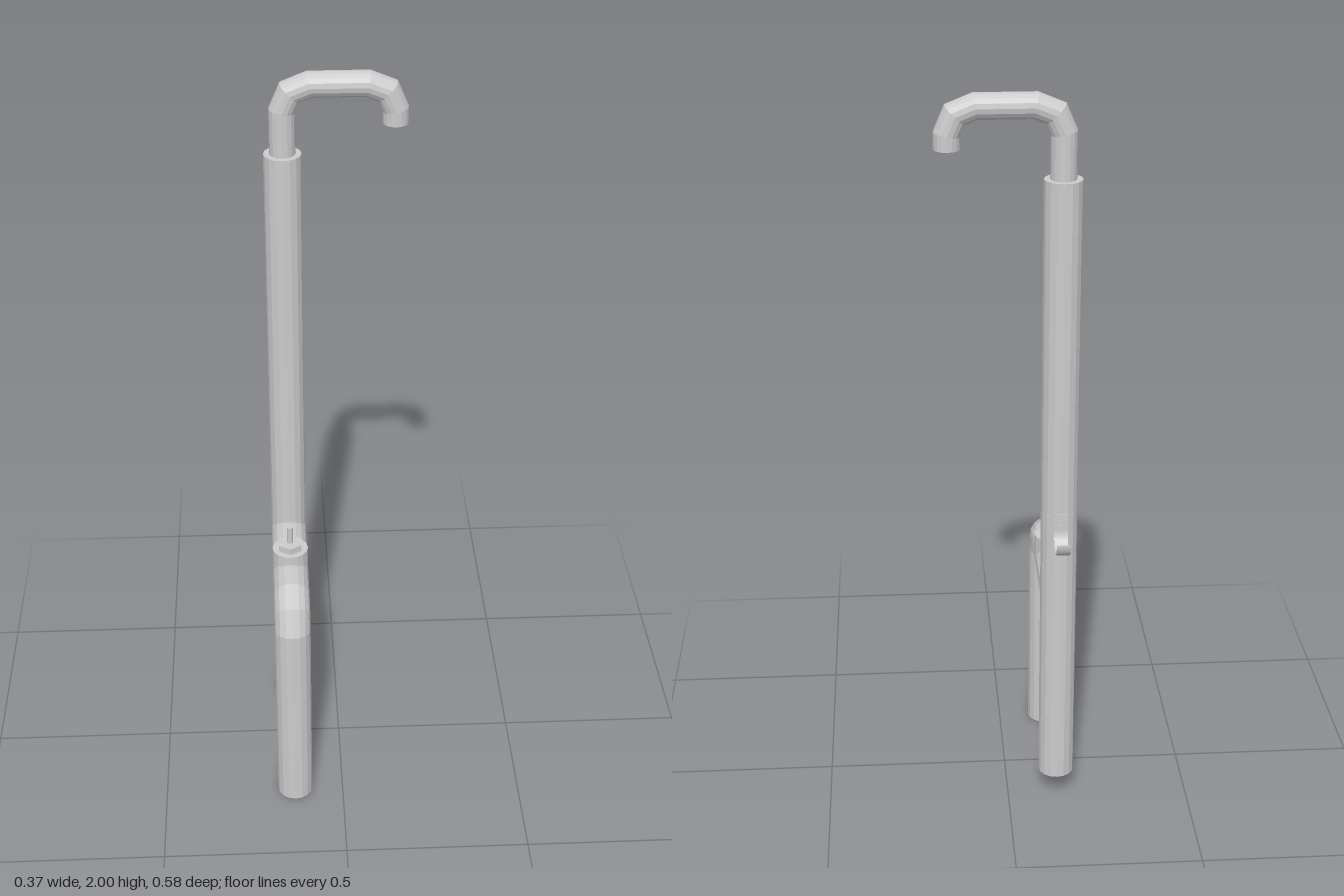
import * as THREE from 'three';

const SIDES = 16;
const X = -0.135;        // shared x of the pipe centre lines
const MAIN_Z = -0.147;   // riser
const VALVE_Z = 0.056;

const metal = new THREE.MeshStandardMaterial({ color: 0xcccccc, flatShading: true });

function add(group, name, geometry, x = 0, y = 0, z = 0) {
  const mesh = new THREE.Mesh(geometry, metal);
  mesh.name = name;
  mesh.position.set(x, y, z);
  group.add(mesh);
  return mesh;
}

// Upright cylinder between two heights
function upright(group, name, radius, y0, y1, x, z, sides = SIDES) {
  const g = new THREE.CylinderGeometry(radius, radius, y1 - y0, sides);
  return add(group, name, g, x, (y0 + y1) / 2, z);
}

// Capped pipe along a path in the xy plane, with mitred bends
function mitredPipe(path, radius) {
  const pts = path.map(([x, y]) => new THREE.Vector2(x, y));
  const dirs = pts.slice(1).map((p, i) => p.clone().sub(pts[i]).normalize());
  const pos = [], index = [];
  pts.forEach((p, i) => {
    const before = dirs[Math.max(i - 1, 0)], after = dirs[Math.min(i, dirs.length - 1)];
    const t = before.clone().add(after).normalize();
    const stretch = radius / t.dot(after);
    for (let j = 0; j < SIDES; j++) {
      const a = (j / SIDES) * Math.PI * 2, c = Math.cos(a) * stretch;
      pos.push(p.x - t.y * c, p.y + t.x * c, Math.sin(a) * radius);
    }
  });
  const last = (pts.length - 1) * SIDES, capA = pts.length * SIDES, capB = capA + 1;
  pos.push(pts[0].x, pts[0].y, 0, pts.at(-1).x, pts.at(-1).y, 0);
  for (let j = 0; j < SIDES; j++) {
    const k = (j + 1) % SIDES;
    for (let r = 0; r < last; r += SIDES) {
      index.push(r + j, r + k, r + SIDES + j, r + k, r + SIDES + k, r + SIDES + j);
    }
    index.push(capA, k, j, capB, last + j, last + k);
  }
  const g = new THREE.BufferGeometry();
  g.setAttribute('position', new THREE.Float32BufferAttribute(pos, 3));
  g.setIndex(index);
  const flat = g.toNonIndexed();
  flat.computeVertexNormals();
  return flat;
}

export function createModel() {
  const model = new THREE.Group();
  model.name = 'ventPipe';

  // Tall riser
  upright(model, 'riser', 0.0485, 0.073, 1.785, X, MAIN_Z);

  // Gooseneck outlet bending over to the side
  add(model, 'gooseneck', mitredPipe([
    [X, 1.76], [X, 1.9], [-0.115, 1.947], [-0.066, 1.967],
    [0.08, 1.967], [0.129, 1.947], [0.149, 1.9], [0.149, 1.863],
  ], 0.033), 0, 0, MAIN_Z);

  // Front leg that bends back into the riser
  const leg = mitredPipe([
    [0.243, 0], [0.243, 0.571], [0.224, 0.618], [0.177, 0.637], [MAIN_Z, 0.637],
  ], 0.0485);
  add(model, 'frontLeg', leg.rotateY(-Math.PI / 2), X);

  // Valve on the horizontal run
  const valve = new THREE.Group();
  valve.name = 'valve';
  upright(valve, 'valveBody', 0.0485, 0.637, 0.71, X, VALVE_Z);
  upright(valve, 'hexNut', 0.035, 0.71, 0.729, X, VALVE_Z, 6);
  upright(valve, 'valveStem', 0.008, 0.729, 0.778, X, VALVE_Z, 12);
  model.add(valve);

  // Curved strap hook behind the riser, profile drawn in z and y
  const hook = new THREE.Group();
  hook.name = 'hook';
  const R = 0.045, T = 0.003, W = 0.036, CZ = -0.247, CY = 0.853;
  const profile = new THREE.Shape();
  profile.moveTo(CZ + R, 0.9);
  profile.lineTo(CZ + R, CY);
  profile.absarc(CZ, CY, R, 0, -Math.PI, true);
  profile.lineTo(CZ - R + T, CY);
  profile.absarc(CZ, CY, R - T, -Math.PI, 0, false);
  profile.lineTo(CZ + R - T, 0.9);
  const strap = new THREE.ExtrudeGeometry(profile, { depth: W, bevelEnabled: false, curveSegments: 12 });
  add(hook, 'hookStrap', strap.rotateY(-Math.PI / 2), X + W / 2);
  for (const y of [0.887, 0.864]) {
    const screw = new THREE.CylinderGeometry(0.006, 0.006, 0.017, 10).rotateX(Math.PI / 2);
    add(hook, 'hookScrew', screw, X, y, -0.2015);
  }
  model.add(hook);

  return model;
}
